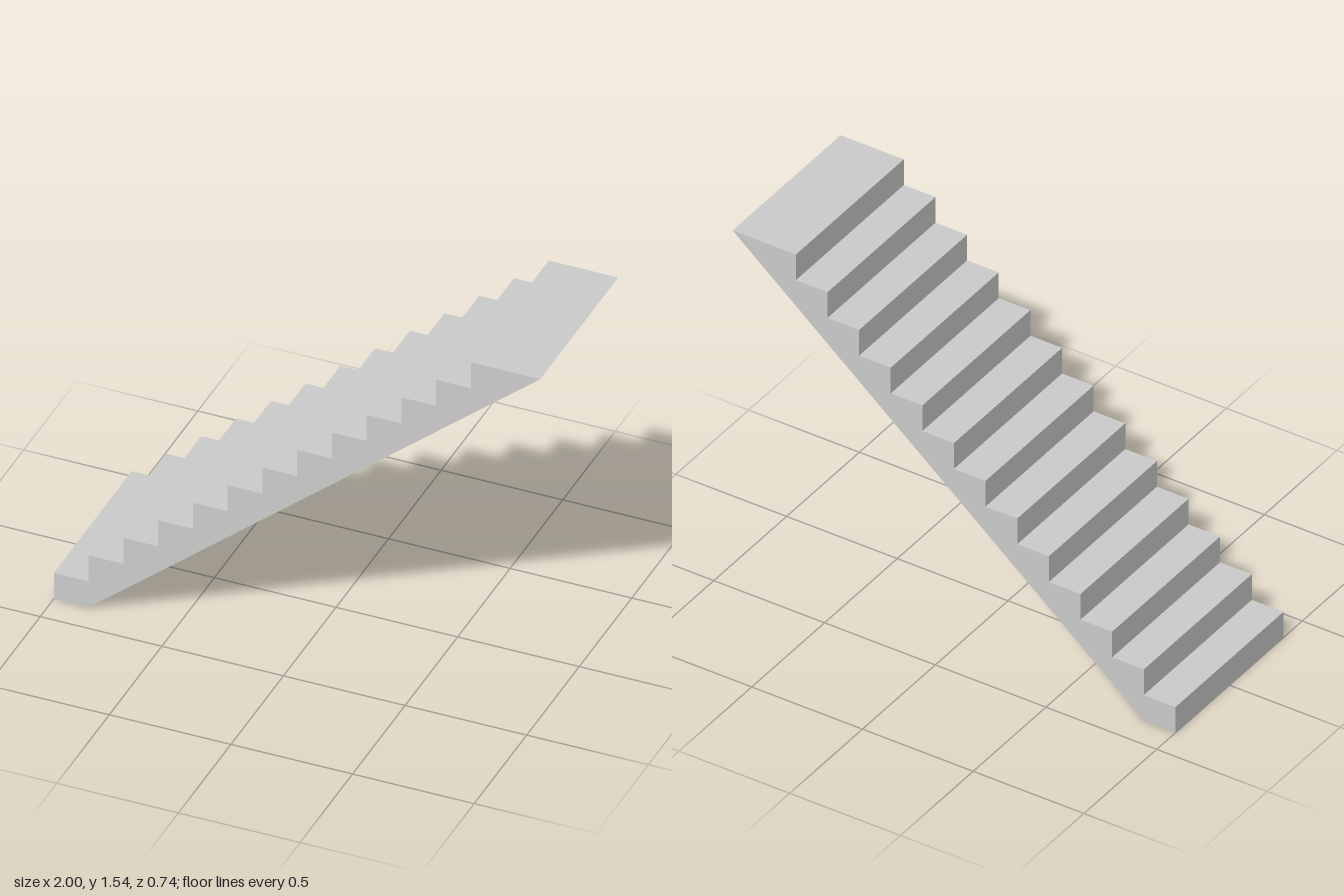
import * as THREE from 'three';

export function createModel() {
  const group = new THREE.Group();
  group.name = 'staircase';

  const steps = 13, height = 1.545, width = 0.742;
  const run = 2 / 14, rise = height / steps; // the top step is two treads deep

  // Side profile: sloping underside, then the steps back down
  const profile = new THREE.Shape();
  profile.moveTo(-1, 0);
  profile.lineTo(-1 + run, 0);
  profile.lineTo(1, height);
  for (let i = steps - 1; i >= 0; i--) {
    const x = -1 + i * run;
    profile.lineTo(x, (i + 1) * rise);
    if (i > 0) profile.lineTo(x, i * rise);
  }
  profile.closePath();

  const geometry = new THREE.ExtrudeGeometry(profile, { depth: width, bevelEnabled: false });
  geometry.translate(0, 0, -width / 2);

  const flight = new THREE.Mesh(
    geometry,
    new THREE.MeshStandardMaterial({ color: 0xcccccc, flatShading: true })
  );
  flight.name = 'stairFlight';
  group.add(flight);
  return group;
}
